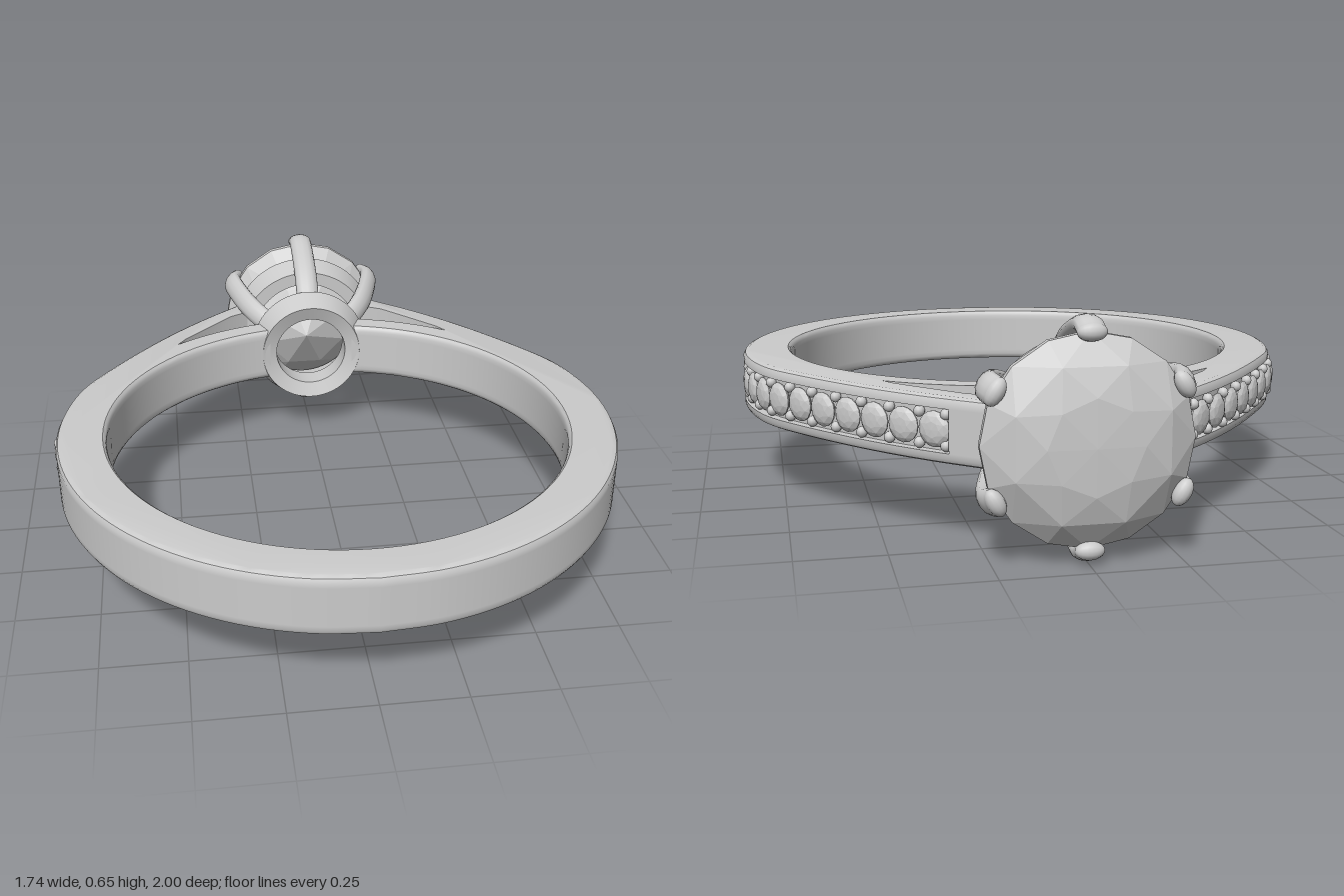
import * as THREE from 'three';
import { toCreasedNormals } from 'three/addons/utils/BufferGeometryUtils.js';
import { ConvexGeometry } from 'three/addons/geometries/ConvexGeometry.js';

const MID = 0.325; // height of the ring's mid plane
const metal = new THREE.MeshStandardMaterial({ color: 0xcccccc });

function add(parent, name, geometry) {
  const mesh = new THREE.Mesh(geometry, metal);
  mesh.name = name;
  parent.add(mesh);
  return mesh;
}

// Right half of the band's outer edge, from the bottom of the shank to the head (x, z plane)
const arc = [];
for (let i = 0; i <= 8; i++) {
  const a = (i / 8) * Math.PI / 2;
  arc.push([0.862 * Math.sin(a), 0.14 + 0.86 * Math.cos(a)]);
}
const outer = new THREE.CatmullRomCurve3(
  [...arc, [0.845, -0.02], [0.795, -0.18], [0.7, -0.33], [0.535, -0.54], [0.39, -0.69], [0.235, -0.825]]
    .map(([x, z]) => new THREE.Vector3(x, 0, z)));

function uAtZ(z) {
  let lo = 0, hi = 1;
  for (let i = 0; i < 30; i++) {
    const m = (lo + hi) / 2;
    if (outer.getPointAt(m).z > z) lo = m; else hi = m;
  }
  return lo;
}
const channelStart = uAtZ(0.12), channelEnd = uAtZ(-0.74);

function edgePoint(u, inset) {
  const p = outer.getPointAt(u), t = outer.getTangentAt(u);
  return [p.x + t.z * inset, p.z - t.x * inset];
}

// Outline of the split band at one level
function outline(inset, channel) {
  const half = [];
  const run = (a, b, n, d) => {
    for (let i = 0; i <= n; i++) half.push(edgePoint(a + (b - a) * i / n, d));
  };
  run(0, channelStart, 36, inset);
  run(channelStart, channelEnd, 30, inset + channel);
  run(channelEnd, 1, 4, inset);
  half[0][0] = 0;
  // slit between the arm and the inner band
  half.push([0.19, -0.745], [0.28, -0.695], [0.38, -0.59], [0.45, -0.515]);
  const circle = (r, a, b, n) => {
    for (let i = 0; i <= n; i++) {
      const t = a + (b - a) * i / n;
      half.push([r * Math.sin(t), 0.15 - r * Math.cos(t)]);
    }
  };
  circle(0.785, 0.655, 0.19, 10);
  circle(0.71 + inset * 0.6, 0.21, Math.PI, 56);
  half[half.length - 1][0] = 0;
  const mirrored = half.slice(1, -1).reverse().map(([x, z]) => [-x, z]);
  return [...half, ...mirrored];
}

// Band lofted through levels of [height, edge rounding, channel depth]
function bandGeometry() {
  const side = [[0.092, 0.018, 0], [0.086, 0.006, 0], [0.075, 0, 0], [0.06, 0, 0], [0.06, 0, 0.026]];
  const levels = [...side.map(([y, i, c]) => [-y, i, c]), ...side.reverse()];
  const rings = levels.map(([, i, c]) => outline(i, c));
  const n = rings[0].length, pos = [], idx = [];
  rings.forEach((ring, k) => ring.forEach(([x, z]) => pos.push(x, MID + levels[k][0], z)));
  for (let k = 0; k < rings.length - 1; k++) {
    for (let i = 0; i < n; i++) {
      const j = (i + 1) % n, a = k * n + i, b = k * n + j;
      idx.push(a, b, b + n, a, b + n, a + n);
    }
  }
  const flat = rings[0].map(([x, z]) => new THREE.Vector2(x, z));
  const top = (rings.length - 1) * n;
  for (const [a, b, c] of THREE.ShapeUtils.triangulateShape(flat, [])) {
    const A = flat[a], B = flat[b], C = flat[c];
    const up = (B.y - A.y) * (C.x - A.x) - (B.x - A.x) * (C.y - A.y) > 0;
    const [p, q] = up ? [b, c] : [c, b];
    idx.push(top + a, top + p, top + q, a, q, p);
  }
  const g = new THREE.BufferGeometry();
  g.setAttribute('position', new THREE.Float32BufferAttribute(pos, 3));
  g.setIndex(idx);
  return toCreasedNormals(g, 0.6);
}

// Brilliant-cut stone with unit girdle radius, table facing +z
function gemGeometry() {
  const pts = [new THREE.Vector3(0, 0, -0.75), new THREE.Vector3(0, 0, 0.345)];
  const ring = (n, r, z, shift) => {
    for (let i = 0; i < n; i++) {
      const a = (i + shift) / n * Math.PI * 2;
      pts.push(new THREE.Vector3(r * Math.cos(a), r * Math.sin(a), z));
    }
  };
  ring(8, 0.45, 0.325, 0);
  ring(8, 0.77, 0.24, 0.5);
  ring(16, 1, 0.05, 0);
  ring(16, 1, -0.02, 0);
  ring(8, 0.56, -0.42, 0.5);
  return new ConvexGeometry(pts);
}

// Closed profile of [radius, distance behind centre] turned about the head's axis
function collar(profile) {
  const pts = [...profile, profile[0]].map(([r, h]) => new THREE.Vector2(r, h));
  return toCreasedNormals(new THREE.LatheGeometry(pts, 64).rotateX(-Math.PI / 2), 0.5);
}

export function createModel() {
  const ring = new THREE.Group();
  ring.name = 'ring';
  add(ring, 'splitBand', bandGeometry());

  // Head: base collar, gallery rail, centre stone, six claws
  const head = new THREE.Group();
  head.name = 'head';
  head.position.y = MID;
  ring.add(head);
  add(head, 'baseCollar', collar([[0.125, 0.555], [0.175, 0.537], [0.205, 0.622], [0.19, 0.635], [0.125, 0.635]]));
  add(head, 'galleryRail', collar([[0.19, 0.73], [0.235, 0.73], [0.26, 0.815], [0.2, 0.815]]));

  const gem = gemGeometry();
  const stone = add(head, 'centreStone', gem);
  stone.position.z = -0.905;
  stone.rotation.y = Math.PI;
  stone.scale.setScalar(0.285);

  const path = new THREE.CatmullRomCurve3(
    [[0.13, -0.625], [0.18, -0.65], [0.235, -0.71], [0.277, -0.8], [0.299, -0.89], [0.285, -0.935]]
      .map(([r, z]) => new THREE.Vector3(r, 0, z)));
  const clawGeo = new THREE.TubeGeometry(path, 28, 0.025, 12).scale(1, 1.6, 1);
  const tipGeo = new THREE.SphereGeometry(0.025, 14, 10).scale(1, 1.6, 1).translate(0.285, 0, -0.935);
  for (let i = 0; i < 6; i++) {
    const claw = new THREE.Group();
    claw.name = 'claw' + (i + 1);
    claw.rotation.z = Math.PI / 2 + i * Math.PI / 3;
    add(claw, 'clawShaft', clawGeo);
    add(claw, 'clawTip', tipGeo);
    head.add(claw);
  }

  // Rows of small stones with bead pairs between them; the right-hand row sits prouder
  const beadGeo = new THREE.SphereGeometry(0.016, 10, 8);
  const count = 10;
  for (const [s, name, inset] of [[1, 'leftStoneRow', 0.012], [-1, 'rightStoneRow', 0]]) {
    const row = new THREE.Group();
    row.name = name;
    ring.add(row);
    for (let k = 0; k <= count * 2; k++) {
      const f = Math.min(Math.max(k / (2 * count), 0.016), 0.984);
      const u = channelStart + (channelEnd - channelStart) * f;
      if (k % 2) {
        const [x, z] = edgePoint(u, inset);
        const t = outer.getTangentAt(u);
        const small = add(row, 'smallStone', gem);
        small.position.set(s * x, MID, z);
        small.rotation.y = Math.atan2(-t.z * s, t.x);
        small.scale.setScalar(0.05);
      } else {
        const [x, z] = edgePoint(u, inset + 0.002);
        for (const v of [-1, 1]) add(row, 'bead', beadGeo).position.set(s * x, MID + v * 0.043, z);
      }
    }
  }
  return ring;
}
